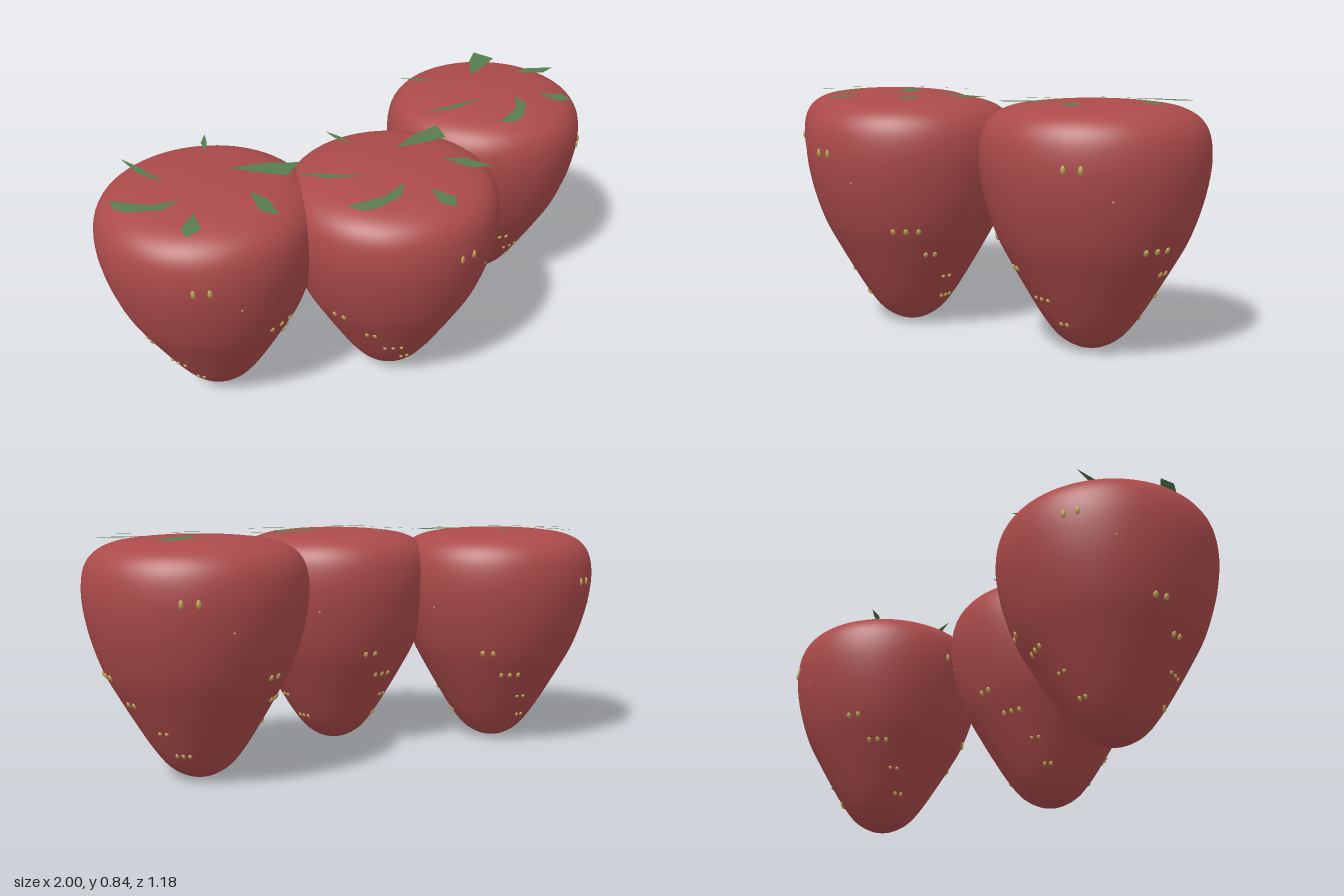
import * as THREE from 'three';

const red = new THREE.MeshStandardMaterial({ color: 0xab4a4a });
red.name = 'berryRed';
const green = new THREE.MeshStandardMaterial({ color: 0x587c4e, side: THREE.DoubleSide });
green.name = 'leafGreen';
const gold = new THREE.MeshStandardMaterial({ color: 0xb8a04e });
gold.name = 'seedGold';

// Berry outline: radius, height
const outline = new THREE.SplineCurve([
  [0, 0.005], [0.05, 0.013], [0.11, 0.05], [0.162, 0.115], [0.215, 0.2], [0.27, 0.295],
  [0.32, 0.39], [0.361, 0.51], [0.382, 0.62], [0.382, 0.7], [0.366, 0.757], [0.33, 0.798],
  [0.27, 0.825], [0.19, 0.838], [0.1, 0.845], [0, 0.847],
].map(([r, y]) => new THREE.Vector2(r, y)));
const profile = outline.getPoints(60);
profile[0].x = 0;
profile[60].x = 0;

// Leaf outlines seen from above: x, z
const leaves = [
  [[-0.11, -0.32], [-0.08, -0.26], [-0.06, -0.19], [-0.10, -0.25]],
  [[0.06, -0.09], [0.18, -0.16], [0.28, -0.19], [0.265, -0.09], [0.16, -0.085]],
  [[0.175, 0.045], [0.245, 0.07], [0.31, 0.155], [0.24, 0.145]],
  [[0.04, 0.21], [0.095, 0.29], [0.065, 0.34], [0.03, 0.30]],
  [[-0.255, 0.19], [-0.115, 0.19], [-0.025, 0.145], [-0.065, 0.21], [-0.17, 0.245], [-0.22, 0.235]],
  [[-0.335, -0.085], [-0.25, -0.04], [-0.115, 0.05], [-0.24, 0]],
];

// Seed rows: height, half width, half length, angles in degrees from the front
const seedRows = [
  [0.65, 0.008, 0.015, [12, 20, 130, 138, -110, -103]],
  [0.555, 0.004, 0.004, [35, 155, 275]],
  [0.385, 0.009, 0.012, [57, 65, 73, -63, -56, 185, 192]],
  [0.295, 0.008, 0.011, [79, 86, -43, -37, 199, 206, 213]],
  [0.2, 0.007, 0.007, [-30, -22, -14, 100, 107, 219, 226]],
  [0.115, 0.007, 0.009, [-10, -2, 109, 117, 125, 230, 238]],
];

// Radius and slope of the berry's side at height y
function sideAt(y) {
  const i = profile.findIndex((p) => p.y >= y);
  const a = profile[i - 1], b = profile[i];
  const t = (y - a.y) / (b.y - a.y);
  return { r: a.x + (b.x - a.x) * t, tilt: Math.atan2(b.x - a.x, b.y - a.y) };
}

// Nearly flat blade that sinks gently towards its outer end
function leafGeometry(points) {
  const shape = new THREE.Shape(points.map(([x, z]) => new THREE.Vector2(x, -z)));
  const geometry = new THREE.ShapeGeometry(shape).rotateX(-Math.PI / 2);
  const pos = geometry.attributes.position;
  for (let i = 0; i < pos.count; i++) {
    pos.setY(i, 0.851 - 0.03 * Math.hypot(pos.getX(i), pos.getZ(i)));
  }
  geometry.computeVertexNormals();
  return geometry;
}

const bodyGeometry = new THREE.LatheGeometry(profile, 64);
const leafGeometries = leaves.map(leafGeometry);
const seedGeometry = new THREE.SphereGeometry(1, 12, 8);

function add(parent, name, geometry, material) {
  const mesh = new THREE.Mesh(geometry, material);
  mesh.name = name;
  parent.add(mesh);
  return mesh;
}

function makeBerry() {
  const berry = new THREE.Group();
  add(berry, 'berryBody', bodyGeometry, red);
  leafGeometries.forEach((geometry) => add(berry, 'leaf', geometry, green));

  // Seeds lie along the slope of the side
  for (const [y, width, length, angles] of seedRows) {
    const { r, tilt } = sideAt(y);
    for (const degrees of angles) {
      const a = THREE.MathUtils.degToRad(degrees);
      const seed = add(berry, 'seed', seedGeometry, gold);
      seed.scale.set(width, length, Math.min(width, 0.007));
      seed.position.set(r * Math.sin(a), y, r * Math.cos(a));
      seed.rotation.set(tilt, a, 0, 'YXZ');
    }
  }
  return berry;
}

export function createModel() {
  const model = new THREE.Group();
  model.name = 'strawberries';
  // Each berry: name, x, z, turn in degrees
  for (const [name, x, z, turn] of [
    ['rightBerry', -0.618, 0.04, -37],
    ['middleBerry', 0.003, 0.203, 0],
    ['leftBerry', 0.618, -0.207, 33],
  ]) {
    const berry = makeBerry();
    berry.name = name;
    berry.position.set(x, -0.004, z);
    berry.rotation.y = THREE.MathUtils.degToRad(turn);
    model.add(berry);
  }
  return model;
}
